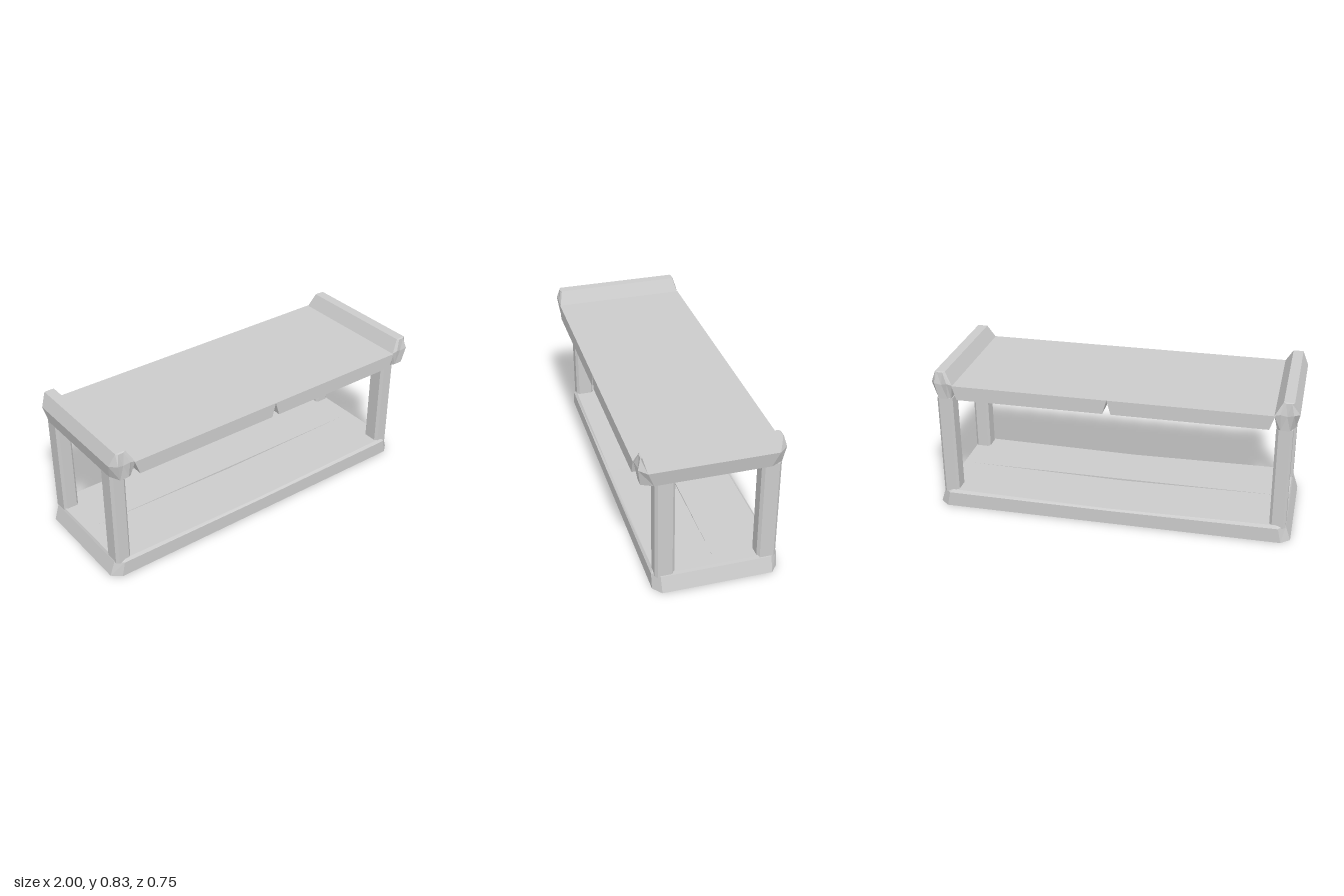
import * as THREE from 'three';

const material = new THREE.MeshStandardMaterial({ color: 0xcccccc, flatShading: true });

// Skin a list of equal-length rings; rings run counter-clockwise seen from the last one.
function loft(rings) {
  const pos = [];
  const tri = (a, b, c) => {
    if (new THREE.Triangle(a, b, c).getArea() > 1e-8) for (const p of [a, b, c]) pos.push(p.x, p.y, p.z);
  };
  const R = rings.map(r => r.map(p => new THREE.Vector3(...p)));
  const n = R[0].length;
  const centre = r => r.reduce((s, p) => s.add(p), new THREE.Vector3()).divideScalar(n);
  const first = R[0], last = R[R.length - 1];
  const c0 = centre(first), c1 = centre(last);
  for (let j = 0; j < n; j++) {
    const k = (j + 1) % n;
    for (let i = 0; i < R.length - 1; i++) {
      tri(R[i][j], R[i][k], R[i + 1][k]);
      tri(R[i][j], R[i + 1][k], R[i + 1][j]);
    }
    tri(c0, first[k], first[j]);
    tri(c1, last[j], last[k]);
  }
  const g = new THREE.BufferGeometry();
  g.setAttribute('position', new THREE.Float32BufferAttribute(pos, 3));
  g.computeVertexNormals();
  return g;
}

// Horizontal outline with cut corners, symmetric in x
const outline = (x, zb, zf, cx, cz, y, midY = y) => [
  [x, y, zf - cz], [x, y, zb + cz], [x - cx, y, zb], [0, midY, zb], [-x + cx, y, zb],
  [-x, y, zb + cz], [-x, y, zf - cz], [-x + cx, y, zf], [0, midY, zf], [x - cx, y, zf],
];

function baseGeometry() {
  const top = outline(0.965, -0.362, 0.29, 0.05, 0.025, 0.1, 0.087);
  return loft([
    outline(1, -0.376, 0.304, 0.05, 0.042, 0),
    outline(0.972, -0.376, 0.304, 0.04, 0.04, 0.085, 0.08),
    top,
    top.map(([x, y]) => [x, y, -0.036]), // shallow sag towards the middle
  ]);
}

// Square post with narrow bevelled edges
function postGeometry(x0, x1, z0, z1, y0, y1) {
  const b = 0.014;
  const ring = y => [
    [x1, y, z1 - b], [x1, y, z0 + b], [x1 - b, y, z0], [x0 + b, y, z0],
    [x0, y, z0 + b], [x0, y, z1 - b], [x0 + b, y, z1], [x1 - b, y, z1],
  ];
  return loft([ring(y0), ring(y1)]);
}

// Six-sided end rail with faceted ends
function railGeometry() {
  const body = [
    [0.912, 0.828, 0.353], [0.87, 0.755, 0.372], [0.888, 0.665, 0.35],
    [0.982, 0.668, 0.3], [1, 0.755, 0.334], [0.968, 0.828, 0.353],
  ];
  const end = [
    [0.925, 0.824, 0.36], [0.9, 0.765, 0.376], [0.905, 0.67, 0.362],
    [0.955, 0.67, 0.362], [0.97, 0.765, 0.376], [0.955, 0.824, 0.36],
  ];
  const back = r => r.map(([x, y, z]) => [x, y, -z]);
  return loft([back(end), back(body), body, end]);
}

// Top board, narrower underneath
function boardGeometry(top0, top1, low0, low1) {
  const s = new THREE.Shape([[low0, 0.675], [low1, 0.675], [top1, 0.755], [top0, 0.755]]
    .map(p => new THREE.Vector2(...p)));
  return new THREE.ExtrudeGeometry(s, { depth: 0.752, bevelEnabled: false }).translate(0, 0, -0.376);
}

export function createModel() {
  const group = new THREE.Group();
  const add = (name, geometry) => {
    const mesh = new THREE.Mesh(geometry, material);
    mesh.name = name;
    group.add(mesh);
    return mesh;
  };

  add('base', baseGeometry());
  add('rightBoard', boardGeometry(-0.875, 0.01, -0.848, -0.012));
  add('leftBoard', boardGeometry(0.01, 0.872, 0.034, 0.848));

  // End rails and the posts below them
  for (const side of [1, -1]) {
    const label = side > 0 ? 'left' : 'right';
    add(label + 'Rail', railGeometry()).rotation.y = side > 0 ? 0 : Math.PI;
    const x0 = side > 0 ? 0.882 : -0.97, x1 = side > 0 ? 0.97 : -0.882;
    add(label + 'FrontPost', postGeometry(x0, x1, 0.187, 0.292, 0.082, 0.67));
    add(label + 'BackPost', postGeometry(x0, x1, -0.361, -0.257, 0.082, 0.67));
  }
  return group;
}
